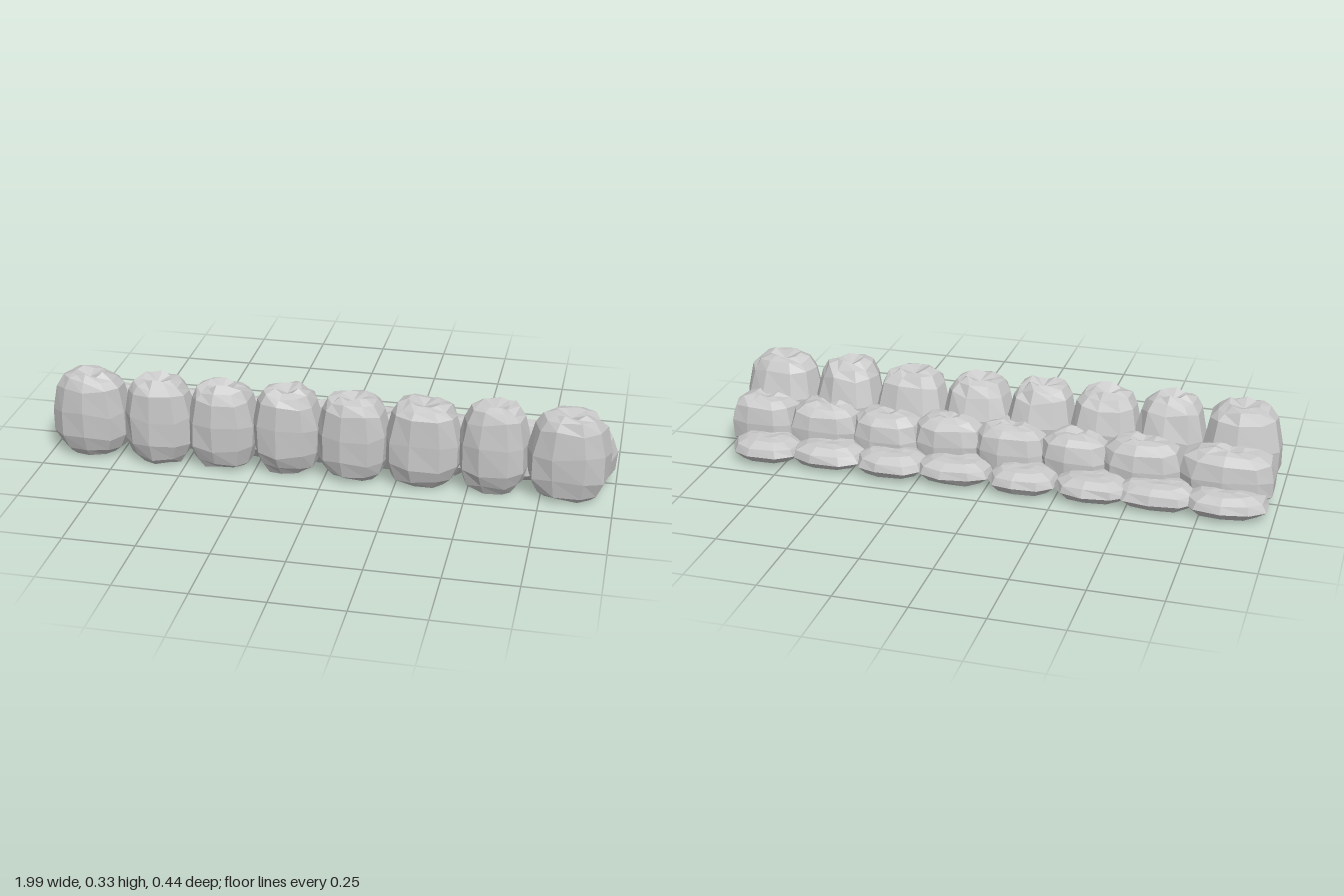
import * as THREE from 'three';

const stoneGrey = new THREE.MeshStandardMaterial({ color: 0xc8c8c8 });
stoneGrey.name = 'stoneGrey';

// Small seeded generator, returns -1..1
function makeRandom(seed) {
  let s = seed;
  return () => {
    s = (s * 16807) % 2147483647;
    return (s / 2147483647) * 2 - 1;
  };
}

// Profiles run from the dented underside up to the dented crown:
// [radius factor, height factor, z shift]
const tallProfile = [
  [0, 0.1, 0], [0.36, 0.06, 0], [0.62, 0.02, 0], [0.82, 0.1, 0], [0.98, 0.27, 0],
  [1, 0.56, 0], [0.84, 0.84, 0.01], [0.66, 0.94, 0.014], [0.4, 0.99, 0.016], [0, 0.92, 0.015],
];
const roundProfile = [
  [0, 0.12, 0], [0.35, 0.07, 0], [0.62, 0.02, 0], [0.98, 0.24, 0],
  [1, 0.55, 0], [0.88, 0.83, 0], [0.64, 0.95, 0], [0.3, 1, -0.005], [0, 0.93, -0.005],
];
const flatProfile = [
  [0, 0.28, 0], [0.45, 0.18, 0], [0.78, 0.02, 0], [1, 0.35, 0],
  [0.9, 0.7, 0], [0.62, 0.95, 0], [0.3, 1, 0], [0, 0.95, 0],
];

// Closed faceted stone lofted from irregular oval rings
function makeStone({ profile, halfDepth, square }, halfWidth, height, seed) {
  const sides = 10;
  const random = makeRandom(seed);
  const points = [];
  const index = [];
  const turn = random() * 0.3;
  const bulge = Array.from({ length: sides }, () => 1 + random() * 0.03);
  const squarish = (v) => Math.sign(v) * Math.pow(Math.abs(v), square);
  profile.forEach(([r, h, shift]) => {
    for (let i = 0; i < sides; i++) {
      const a = (i / sides) * Math.PI * 2 + turn;
      const k = r * bulge[i] * (1 + random() * 0.03);
      const y = height * h + (r > 0 ? random() * height * 0.03 : 0);
      points.push(squarish(Math.cos(a)) * halfWidth * k, Math.max(0, y), squarish(Math.sin(a)) * halfDepth * k + shift);
    }
  });
  for (let j = 0; j < profile.length - 1; j++) {
    for (let i = 0; i < sides; i++) {
      const n = (i + 1) % sides;
      const a = j * sides + i, b = j * sides + n;
      const c = a + sides, d = b + sides;
      if (profile[j + 1][0] > 0) index.push(a, c, d);
      if (profile[j][0] > 0) index.push(a, d, b);
    }
  }
  const indexed = new THREE.BufferGeometry();
  indexed.setAttribute('position', new THREE.Float32BufferAttribute(points, 3));
  indexed.setIndex(index);
  const geometry = indexed.toNonIndexed();
  geometry.computeVertexNormals();
  return geometry;
}

// Each stone: [x, z, half width, height]
const rows = [
  {
    name: 'tallFrontStone', profile: tallProfile, base: 0.004, halfDepth: 0.107, square: 0.8, seed: 101,
    stones: [[-0.85, 0.105, 0.138, 0.318], [-0.6, 0.112, 0.125, 0.32], [-0.37, 0.105, 0.125, 0.315], [-0.137, 0.1, 0.124, 0.318],
      [0.095, 0.105, 0.126, 0.312], [0.342, 0.105, 0.136, 0.314], [0.583, 0.1, 0.125, 0.325], [0.84, 0.105, 0.142, 0.318]],
  },
  {
    name: 'middleStone', profile: roundProfile, base: 0.008, halfDepth: 0.103, square: 0.75, seed: 577,
    stones: [[-0.825, -0.01, 0.168, 0.196], [-0.525, -0.005, 0.145, 0.196], [-0.29, 0, 0.13, 0.19], [-0.06, -0.005, 0.138, 0.196],
      [0.17, 0, 0.133, 0.196], [0.4, -0.005, 0.138, 0.19], [0.63, 0, 0.138, 0.196], [0.868, 0, 0.13, 0.2]],
  },
  {
    name: 'lowBackStone', profile: flatProfile, base: 0.016, halfDepth: 0.1, square: 0.8, seed: 907,
    stones: [[-0.835, -0.11, 0.145, 0.08], [-0.6, -0.107, 0.147, 0.08], [-0.375, -0.115, 0.137, 0.08], [-0.13, -0.117, 0.128, 0.08],
      [0.12, -0.107, 0.138, 0.08], [0.35, -0.112, 0.132, 0.08], [0.59, -0.107, 0.142, 0.08], [0.82, -0.114, 0.132, 0.08]],
  },
];

export function createModel() {
  const group = new THREE.Group();
  group.name = 'stoneBorder';
  rows.forEach((row) => {
    row.stones.forEach(([x, z, halfWidth, height], i) => {
      const stone = new THREE.Mesh(makeStone(row, halfWidth, height, row.seed + i * 7919), stoneGrey);
      stone.name = `${row.name}${i + 1}`;
      stone.position.set(x, row.base, z);
      group.add(stone);
    });
  });
  return group;
}
